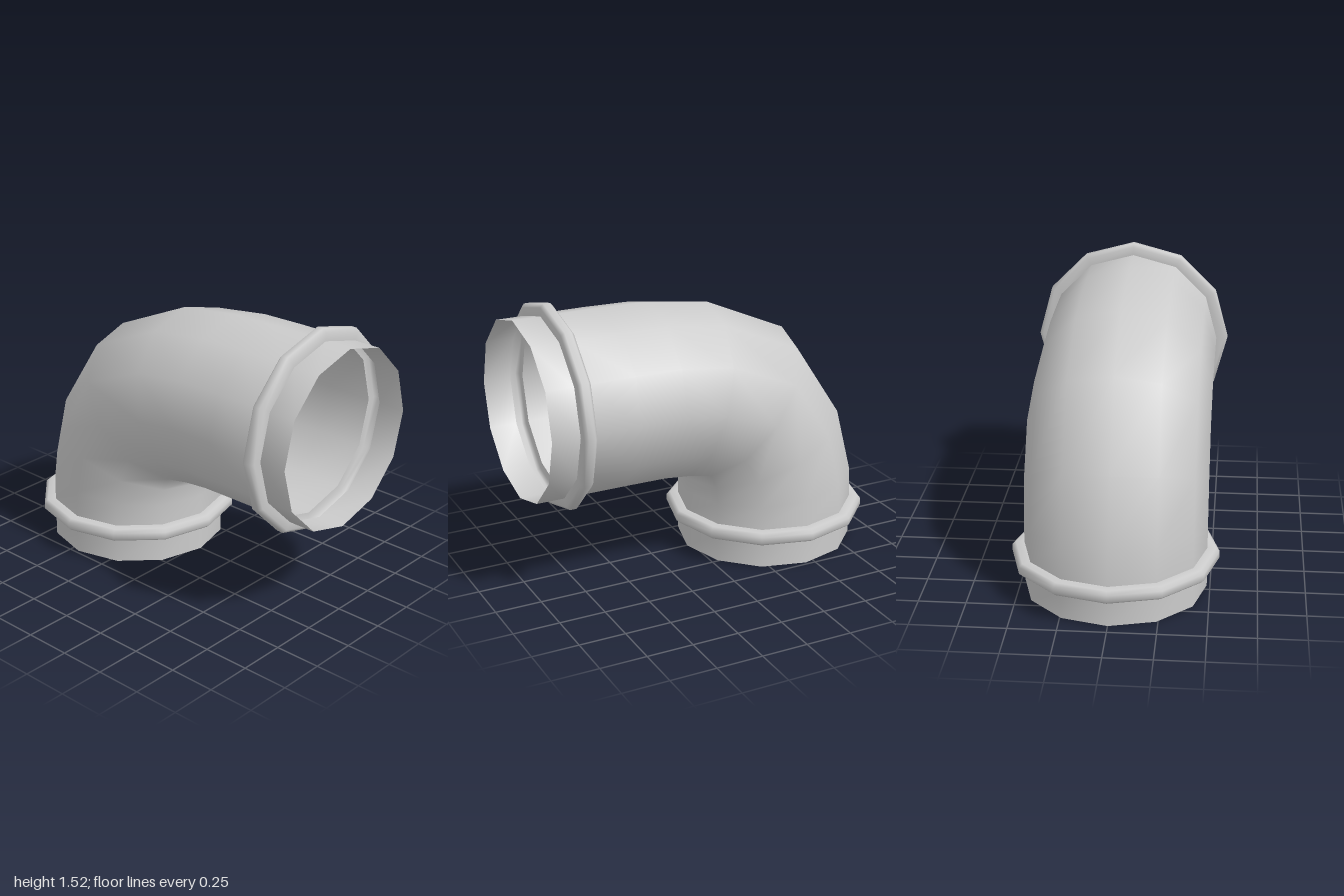
import * as THREE from 'three';

const SIDES = 12, R = 0.483;
const material = new THREE.MeshStandardMaterial({ color: 0xcccccc, side: THREE.DoubleSide });

// Smooth tube through 12-sided sections, each [outer x, outer y, inner x, inner y, half width in z]
function loft(name, sections) {
  const pos = [], index = [];
  sections.forEach(([ox, oy, ix, iy, w], i) => {
    for (let j = 0; j < SIDES; j++) {
      const a = (j / SIDES) * Math.PI * 2, t = (1 - Math.cos(a)) / 2;
      pos.push(ox + (ix - ox) * t, oy + (iy - oy) * t, w * Math.sin(a));
      if (i === sections.length - 1) continue;
      const k = (j + 1) % SIDES, p = i * SIDES, q = p + SIDES;
      index.push(p + j, p + k, q + k, p + j, q + k, q + j);
    }
  });
  const g = new THREE.BufferGeometry();
  g.setAttribute('position', new THREE.Float32BufferAttribute(pos, 3));
  g.setIndex(index);
  g.computeVertexNormals();
  const mesh = new THREE.Mesh(g, material);
  mesh.name = name;
  return mesh;
}

// Round sections on the upright leg and on the sideways leg
const upright = (y, r = R) => [-0.453 - r, y, -0.453 + r, y, r];
const sideways = (x, r = R) => [x, 0.97 + r, x, 0.97 - r, r];

// Hollow bead bulging out of the pipe wall
const bead = [[-0.035, R], [-0.035, 0.528], [-0.018, 0.547], [0.018, 0.547], [0.035, 0.528], [0.035, R]];

export function createModel() {
  const group = new THREE.Group();
  group.name = 'pipeElbow';
  group.add(
    loft('lowerCollar', [upright(0), upright(0.15)]),
    loft('lowerBead', bead.map(([t, r]) => upright(0.185 + t, r))),
    // Elbow: tight inner corner, wide outer sweep
    loft('elbow', [
      upright(0.22),
      [-0.927, 0.4, 0.03, 0.33, R],
      [-0.83, 0.77, 0.033, 0.41, R],
      [-0.55, 1.195, 0.045, 0.46, R],
      [-0.09, 1.4, 0.16, 0.474, R],
      [0.26, 1.447, 0.28, 0.485, R],
      sideways(0.52),
      sideways(0.78),
    ]),
    loft('upperBead', bead.map(([t, r]) => sideways(0.815 + t, r))),
    loft('upperCollar', [sideways(0.85), sideways(1)]),
  );
  return group;
}
